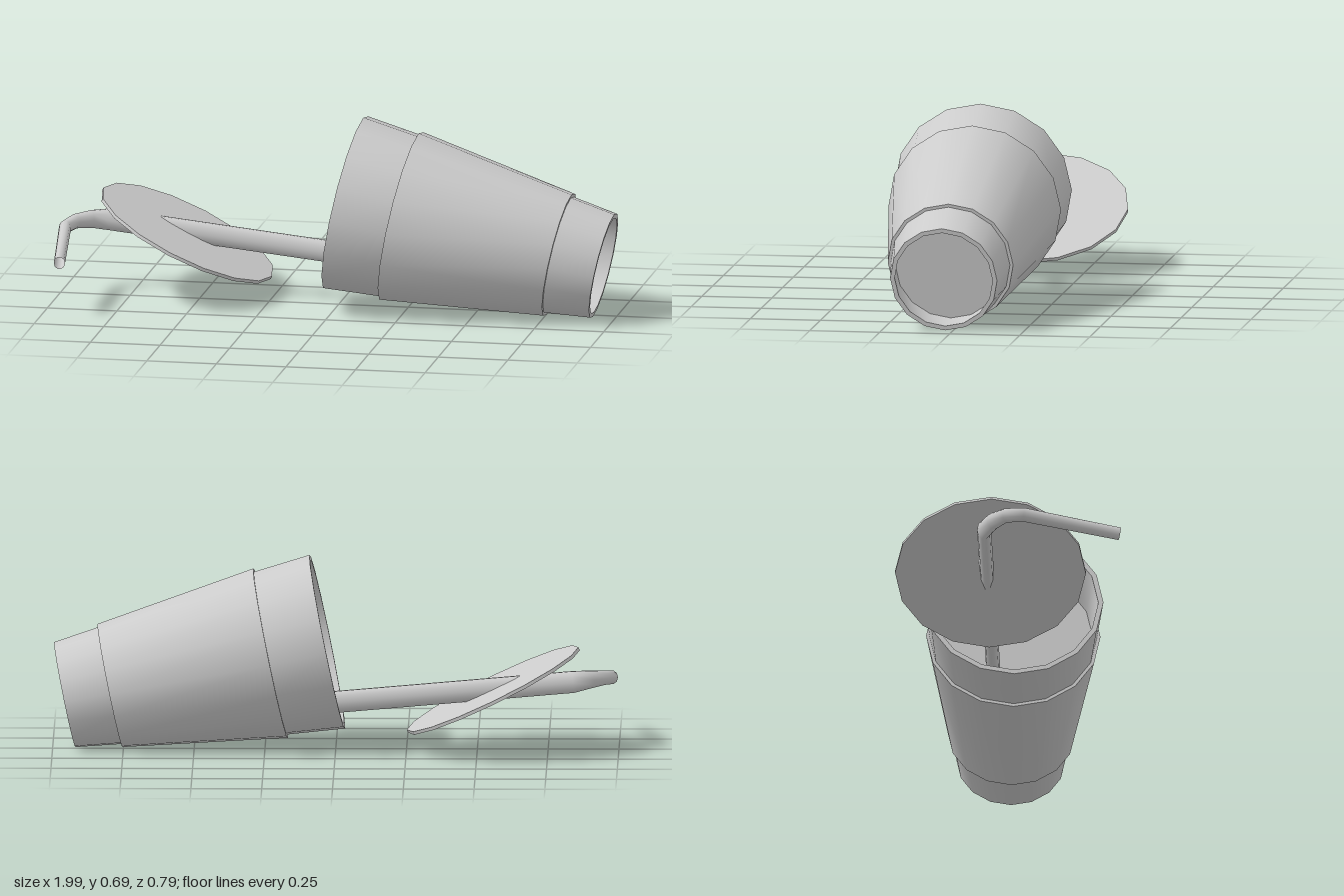
import * as THREE from 'three';
import { toCreasedNormals } from 'three/addons/utils/BufferGeometryUtils.js';

const SIDES = 16;

export function createModel() {
  const model = new THREE.Group();
  const grey = new THREE.MeshStandardMaterial({ color: 0xcccccc });
  const thin = new THREE.MeshStandardMaterial({ color: 0xcccccc, side: THREE.DoubleSide });

  const add = (parent, name, geometry, material = grey) => {
    const mesh = new THREE.Mesh(geometry, material);
    mesh.name = name;
    parent.add(mesh);
    return mesh;
  };
  const lathe = (points) => toCreasedNormals(
    new THREE.LatheGeometry(points.map(([r, y]) => new THREE.Vector2(r, y)), SIDES), 0.6);

  // Cup lying on its side: local +y runs from the base to the mouth
  const cup = new THREE.Group();
  cup.name = 'cup';
  cup.position.set(0.957, 0.19, 0.028);
  cup.rotation.z = THREE.MathUtils.degToRad(78.4);
  model.add(cup);

  // Wall with a recessed underside and the filled level inside the mouth
  add(cup, 'cupWall', lathe([
    [0, 0.13], [0.192, 0.13], [0.175, 0], [0.191, 0], [0.2125, 0.163],
    [0.296, 0.742], [0.316, 0.946], [0.298, 0.946], [0.28, 0.746],
  ]));
  add(cup, 'drinkSurface', lathe([[0.28, 0.746], [0, 0.746]]));

  // Sleeve wrapped around the middle
  add(cup, 'sleeve', lathe([[0.2125, 0.163], [0.224, 0.163], [0.308, 0.742], [0.296, 0.742]]));

  // Flat lid, slid along the straw
  const lid = add(model, 'lid', toCreasedNormals(
    new THREE.CylinderGeometry(0.337, 0.337, 0.012, SIDES), 0.6));
  lid.position.set(-0.557, 0.222, -0.062);
  lid.rotation.z = -Math.atan2(0.295, 0.605);

  // Bent straw with an oval section: x, y, z, half height, half width
  add(model, 'straw', ovalTube([
    [0.5, 0.13, -0.027, 0.04, 0.025],
    [-0.84, 0.255, -0.088, 0.04, 0.025],
    [-0.9, 0.26, -0.058, 0.032, 0.025],
    [-0.95, 0.26, -0.012, 0.026, 0.024],
    [-0.974, 0.252, 0.05, 0.025, 0.022],
    [-0.93, 0.2, 0.39, 0.023, 0.02],
  ], 10), thin);

  return model;
}

// Sweeps an oval along the stations, keeping its tall side upright
function ovalTube(stations, sides) {
  const centres = stations.map(([x, y, z]) => new THREE.Vector3(x, y, z));
  const positions = [];
  const index = [];
  stations.forEach(([, , , high, wide], i) => {
    const before = centres[Math.max(i - 1, 0)];
    const after = centres[Math.min(i + 1, centres.length - 1)];
    const along = after.clone().sub(before).normalize();
    const side = new THREE.Vector3().crossVectors(along, new THREE.Vector3(0, 1, 0)).normalize();
    const up = new THREE.Vector3().crossVectors(side, along);
    for (let j = 0; j < sides; j++) {
      const a = (j / sides) * Math.PI * 2;
      const p = centres[i].clone()
        .addScaledVector(side, Math.cos(a) * wide)
        .addScaledVector(up, Math.sin(a) * high);
      positions.push(p.x, p.y, p.z);
      if (i === 0) continue;
      const k = (j + 1) % sides;
      const low = (i - 1) * sides;
      const top = i * sides;
      index.push(low + j, low + k, top + j, low + k, top + k, top + j);
    }
  });
  const geometry = new THREE.BufferGeometry();
  geometry.setAttribute('position', new THREE.Float32BufferAttribute(positions, 3));
  geometry.setIndex(index);
  geometry.computeVertexNormals();
  return geometry;
}
